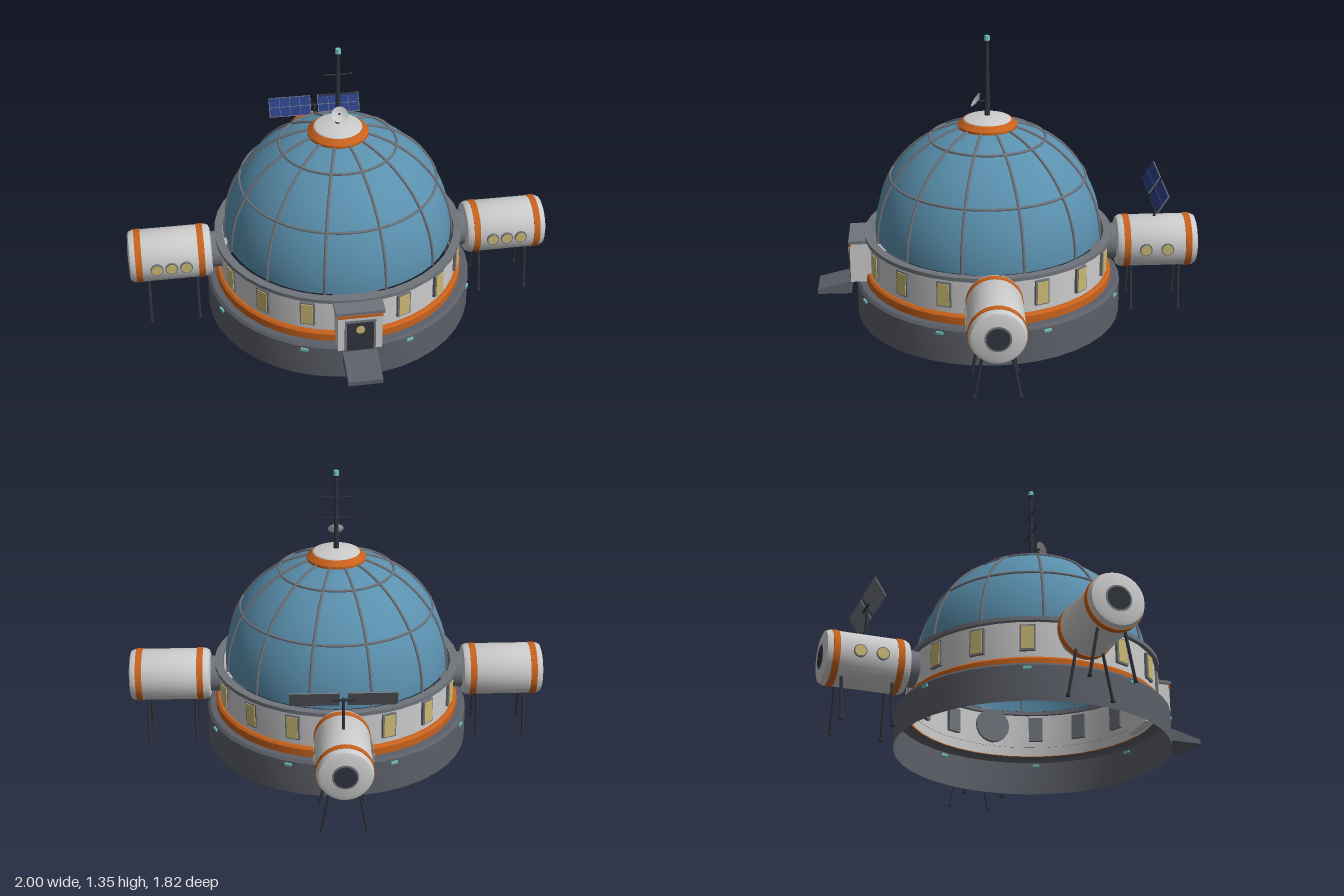
import * as THREE from 'three';
import { toCreasedNormals } from 'three/addons/utils/BufferGeometryUtils.js';

const mat = (color) => new THREE.MeshStandardMaterial({ color, side: THREE.DoubleSide });
const M = {
  grey: mat(0xcccccc), dark: mat(0x5c5f68), trim: mat(0x70747c), black: mat(0x30343c),
  orange: mat(0xc8621c), glass: mat(0x5a90ae), window: mat(0xc9b873),
  lamp: mat(0x6fc0bc), solar: mat(0x2a3c80),
};

function add(parent, name, geo, material, x = 0, y = 0, z = 0) {
  const mesh = new THREE.Mesh(geo, material);
  mesh.name = name;
  mesh.position.set(x, y, z);
  parent.add(mesh);
  return mesh;
}
function group(parent, name) {
  const g = new THREE.Group();
  g.name = name;
  parent.add(g);
  return g;
}
const box = (w, h, d) => new THREE.BoxGeometry(w, h, d);
const cyl = (r0, r1, h, n = 16) => new THREE.CylinderGeometry(r1, r0, h, n);
const lathe = (pts, n = 40) => toCreasedNormals(
  new THREE.LatheGeometry(pts.map(([r, y]) => new THREE.Vector2(r, y)), n), 0.5);

// Straight round bar between two points
function rod(parent, name, a, b, r, material) {
  const path = new THREE.LineCurve3(new THREE.Vector3(...a), new THREE.Vector3(...b));
  const mid = path.getPoint(0.5);
  const mesh = add(parent, name, cyl(r, r, path.getLength(), 8), material, mid.x, mid.y, mid.z);
  mesh.quaternion.setFromUnitVectors(new THREE.Vector3(0, 1, 0), path.getTangent(0));
  return mesh;
}

// Hollow base, wall and flange
function buildBody(hub) {
  add(hub, 'base', lathe([[0.63, 0], [0.63, 0.162], [0.618, 0.175], [0.575, 0.175]]), M.dark);
  add(hub, 'orangeBand', lathe([[0.588, 0.175], [0.588, 0.21], [0.578, 0.22], [0.565, 0.22]]), M.orange);
  add(hub, 'wall', lathe([[0.567, 0.175], [0.567, 0.39]]), M.grey);
  add(hub, 'wallFlange', lathe([[0.55, 0.387], [0.588, 0.387], [0.588, 0.405], [0.55, 0.405], [0.55, 0.387]]), M.trim);

  // Windows skip the door and the module necks
  for (let i = 0; i < 16; i++) {
    if (i % 4 === 0) continue;
    const w = group(hub, 'wallWindow');
    w.rotation.y = i * Math.PI / 8;
    add(w, 'windowFrame', box(0.068, 0.12, 0.03), M.trim, 0, 0.31, 0.563);
    add(w, 'windowPane', box(0.054, 0.106, 0.012), M.window, 0, 0.31, 0.576);
  }
  for (let i = 0; i < 8; i++) {
    const l = group(hub, 'baseLight');
    l.rotation.y = (i + 0.5) * Math.PI / 4;
    add(l, 'lamp', box(0.034, 0.012, 0.014), M.lamp, 0, 0.147, 0.63);
  }
}

// Glass dome with ribs, rings and cap
function buildDome(hub) {
  const R = 0.535, Y = 0.4;
  const arc = (r, from, to, n) => Array.from({ length: n + 1 }, (_, i) => {
    const a = from + (to - from) * i / n;
    return [r * Math.cos(a), r * Math.sin(a)];
  });
  add(hub, 'domeGlass', new THREE.SphereGeometry(R, 48, 20, 0, Math.PI * 2, 0, Math.PI / 2), M.glass, 0, Y, 0);
  const ribPath = new THREE.CatmullRomCurve3(
    arc(R + 0.003, 0, 1.33, 12).map(([r, y]) => new THREE.Vector3(r, y, 0)));
  const ribGeo = new THREE.TubeGeometry(ribPath, 20, 0.007, 6);
  for (let i = 0; i < 12; i++) {
    add(hub, 'domeRib', ribGeo, M.trim, 0, Y, 0).rotation.y = (i + 0.5) * Math.PI / 6;
  }
  for (const y of [0.68, 0.865]) {
    const r = Math.sqrt((R + 0.003) ** 2 - (y - Y) ** 2);
    add(hub, 'domeRing', new THREE.TorusGeometry(r, 0.006, 6, 48), M.trim, 0, y, 0).rotation.x = Math.PI / 2;
  }
  add(hub, 'capRing', lathe([[0.14, 0.915], [0.14, 0.928], [0.115, 0.95], [0.1, 0.95]], 32), M.orange);
  add(hub, 'cap', lathe([[0.115, 0.945], [0.108, 0.954], [0.06, 0.968], [0, 0.97]], 32), M.grey);
}

// Mast with crossbars, dish and beacon
function buildMast(hub) {
  const mast = group(hub, 'mast');
  add(mast, 'mastPole', cyl(0.013, 0.007, 0.37, 10), M.black, 0, 1.145, 0);
  add(mast, 'beaconCollar', cyl(0.009, 0.014, 0.014, 12), M.black, 0, 1.322, 0);
  add(mast, 'beacon', cyl(0.014, 0.012, 0.022, 12), M.lamp, 0, 1.338, 0);
  for (const [y, half] of [[1.12, 0.08], [1.22, 0.06]]) {
    rod(mast, 'crossbar', [-half, y, 0], [half, y, 0], 0.0035, M.black);
    for (const s of [-1, 1]) add(mast, 'crossbarTip', new THREE.SphereGeometry(0.006, 8, 6), M.black, s * half, y, 0);
  }
  rod(mast, 'dishArm', [0, 1.035, 0], [0, 1.04, 0.045], 0.005, M.black);
  const dish = add(mast, 'dish', lathe([[0, 0], [0.02, 0.003], [0.037, 0.012]], 20), M.grey, 0, 1.037, 0.045);
  dish.rotation.x = 0.97;
}

// Porch with door and sloping step
function buildEntrance(hub) {
  const porch = group(hub, 'entrance');
  add(porch, 'porch', box(0.2, 0.2, 0.13), M.grey, 0, 0.28, 0.59);
  add(porch, 'porchRoof', box(0.222, 0.016, 0.14), M.trim, 0, 0.386, 0.59);
  add(porch, 'porchStripe', box(0.204, 0.014, 0.01), M.orange, 0, 0.367, 0.653);
  add(porch, 'doorFrame', box(0.14, 0.165, 0.01), M.trim, 0, 0.2625, 0.654);
  add(porch, 'door', box(0.12, 0.152, 0.012), M.black, 0, 0.258, 0.656);
  add(porch, 'doorPorthole', cyl(0.02, 0.02, 0.008, 20), M.window, 0, 0.298, 0.662).rotation.x = Math.PI / 2;
  // Side profile (z, y) extruded across x
  const side = new THREE.Shape([[0.655, 0.11], [0.815, 0.11], [0.815, 0.132], [0.655, 0.172]]
    .map(([z, y]) => new THREE.Vector2(z, y)));
  const ramp = new THREE.ExtrudeGeometry(side, { depth: 0.156, bevelEnabled: false });
  add(porch, 'ramp', ramp, M.dark, 0.078, 0, 0).rotation.y = -Math.PI / 2;
}

// Outlying module along its own +x; portholes are [z side, positions]
function buildModule(hub, name, angle, sides, portholeX) {
  const m = group(hub, name);
  m.rotation.y = angle;
  const r = 0.124, y = 0.322;
  const along = (part, geo, material, x) => {
    add(m, part, geo, material, x, y, 0).rotation.z = -Math.PI / 2;
  };
  along('neck', cyl(0.085, 0.085, 0.08, 24), M.trim, 0.588);
  along('shell', lathe([[0, 0.608], [0.1, 0.608], [0.116, 0.614], [r, 0.63], [r, 0.972],
    [0.116, 0.99], [0.1, 0.996], [0, 0.996]], 32), M.grey, 0);
  for (const x of [0.658, 0.95]) along('moduleBand', cyl(r + 0.003, r + 0.003, 0.03, 32), M.orange, x);
  along('endPortholeRim', cyl(0.058, 0.058, 0.008, 24), M.trim, 0.994);
  along('endPorthole', cyl(0.05, 0.05, 0.008, 24), M.black, 0.996);
  for (const s of sides) {
    for (const x of portholeX) {
      add(m, 'portholeRim', cyl(0.03, 0.03, 0.02, 20), M.trim, x, y, s * 0.12).rotation.x = Math.PI / 2;
      add(m, 'porthole', cyl(0.025, 0.025, 0.022, 20), M.window, x, y, s * 0.121).rotation.x = Math.PI / 2;
    }
  }
  for (const x of [0.683, 0.912]) {
    for (const s of [-1, 1]) {
      rod(m, 'leg', [x, 0.004, s * 0.1], [x, 0.23, s * 0.058], 0.007, M.black);
      add(m, 'foot', cyl(0.01, 0.01, 0.01, 10), M.black, x, 0.005, s * 0.1);
    }
  }
}

// Tilted pair of solar panels on the rear module
function buildSolar(hub) {
  const rig = group(hub, 'solarArray');
  rig.position.z = -0.797;
  add(rig, 'solarPost', cyl(0.007, 0.007, 0.16, 8), M.black, 0, 0.515, 0);
  const head = group(rig, 'solarHead');
  head.position.y = 0.593;
  head.rotation.x = -0.56;
  rod(head, 'solarArm', [-0.05, 0, -0.006], [0.05, 0, -0.006], 0.006, M.black);
  for (const s of [-1, 1]) {
    add(head, 'panelBack', box(0.216, 0.1, 0.006), M.trim, s * 0.126, 0, 0);
    for (let i = 0; i < 4; i++) {
      for (const row of [-1, 1]) {
        add(head, 'solarCell', box(0.05, 0.045, 0.003), M.solar, s * (0.047 + i * 0.0527), row * 0.0242, 0.0035);
      }
    }
  }
}

export function createModel() {
  const model = new THREE.Group();
  model.name = 'domeHabitat';
  const hub = group(model, 'habitat');
  hub.position.z = 0.09;
  buildBody(hub);
  buildDome(hub);
  buildMast(hub);
  buildEntrance(hub);
  buildModule(hub, 'leftModule', 0, [1], [0.732, 0.8, 0.868]);
  buildModule(hub, 'rightModule', Math.PI, [-1], [0.732, 0.8, 0.868]);
  buildModule(hub, 'rearModule', Math.PI / 2, [-1, 1], [0.745, 0.847]);
  buildSolar(hub);
  return model;
}
